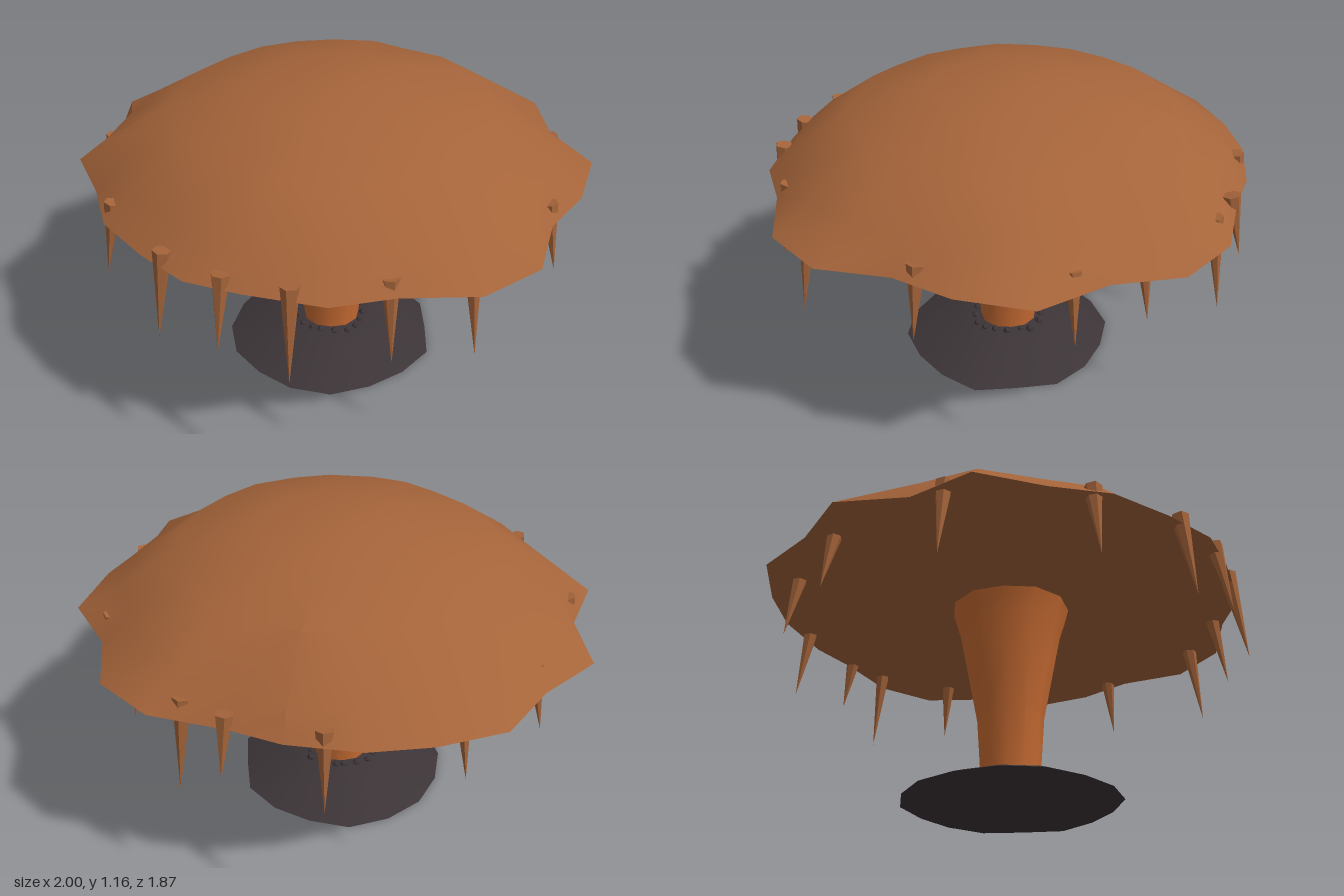
import * as THREE from 'three';
import { toCreasedNormals } from 'three/addons/utils/BufferGeometryUtils.js';

const mat = (name, color) => new THREE.MeshStandardMaterial({ name, color });

// Closed solid through rings of [x, y, z] points, listed from bottom to top
function loft(rings, crease) {
  const n = rings[0].length, pos = [], idx = [];
  rings.forEach(r => r.forEach(p => pos.push(...p)));
  for (let i = 0; i < rings.length - 1; i++) {
    for (let j = 0; j < n; j++) {
      const k = (j + 1) % n, a = i * n + j, b = i * n + k;
      idx.push(a, a + n, b, b, a + n, b + n);
    }
  }
  const addEnd = (ring, start, up) => {
    const c = pos.length / 3;
    pos.push(...[0, 1, 2].map(d => ring.reduce((s, p) => s + p[d], 0) / n));
    for (let j = 0; j < n; j++) {
      const a = start + j, b = start + (j + 1) % n;
      idx.push(c, up ? b : a, up ? a : b);
    }
  };
  addEnd(rings[0], 0, false);
  addEnd(rings[rings.length - 1], (rings.length - 1) * n, true);
  const g = new THREE.BufferGeometry();
  g.setAttribute('position', new THREE.Float32BufferAttribute(pos, 3));
  g.setIndex(idx);
  return toCreasedNormals(g, crease);
}

// Ring of n points with a radius for each one
const ring = (n, y, cx, cz, radius) => Array.from({ length: n }, (_, j) => {
  const t = j / n * Math.PI * 2, r = radius(j);
  return [cx + Math.cos(t) * r, y, cz + Math.sin(t) * r];
});

export function createModel() {
  const model = new THREE.Group();
  model.name = 'mushroom';
  const capMat = mat('cap brown', 0xa5643a);
  const stemMat = mat('stem orange brown', 0xc56a32);
  const soilMat = mat('dark soil', 0x3c3437);
  const add = (name, geometry, material) => {
    const m = new THREE.Mesh(geometry, material);
    m.name = name;
    model.add(m);
    return m;
  };
  let seed = 7;
  const rand = () => (seed = (seed * 16807) % 2147483647) / 2147483647;

  // Cap: an uneven rim that becomes rounder towards the crown
  const rim = [
    [1, 0.01], [0.91, 0.27], [0.77, 0.46], [0.69, 0.72], [0.48, 0.87], [0.2, 0.88],
    [-0.02, 0.93], [-0.3, 0.86], [-0.5, 0.79], [-0.66, 0.64], [-0.82, 0.45], [-0.89, 0.23],
    [-1, -0.01], [-0.88, -0.24], [-0.88, -0.51], [-0.67, -0.67], [-0.5, -0.87], [-0.25, -0.93],
    [-0.02, -0.94], [0.24, -0.88], [0.42, -0.79], [0.69, -0.69], [0.86, -0.5], [0.88, -0.24]];
  const dents = { 0: -0.03, 3: -0.03, 9: -0.03, 12: 0.03, 13: 0.03, 19: 0.03, 20: -0.05, 23: -0.03 };
  // scale, height, roundness, strength of the dents
  const levels = [[1, 0.82, 0, 0], [0.885, 0.915, 0.6, 1], [0.655, 1.065, 0.85, 0.3],
    [0.32, 1.14, 1, 0], [0.1, 1.163, 1, 0]];
  const capRings = levels.map(([s, y, round, dent]) => rim.map(([x, z], j) => {
    const r = Math.hypot(x, z);
    const k = s * (r + (0.94 - r) * round) + (dents[j] || 0) * dent;
    return [x / r * k, y, z / r * k];
  }));
  add('cap', loft(capRings, 0.5), capMat);

  // Stem flaring into the cap
  const stemRings = [[0.06, 0.118, -0.017], [0.34, 0.138, -0.012], [0.6, 0.19, -0.008],
    [0.72, 0.215, -0.005], [0.83, 0.25, 0]]
    .map(([y, r, cx]) => ring(12, y, cx, 0.005, j => r * (j % 3 ? 1 : 0.96)));
  add('stem', loft(stemRings, 0.6), stemMat);

  // Low mound of soil
  const wobble = Array.from({ length: 16 }, () => 0.96 + rand() * 0.08);
  const moundRings = [[0, 0.42], [0.03, 0.345], [0.065, 0.235], [0.09, 0.14]]
    .map(([y, r]) => ring(16, y, -0.018, 0.01, j => r * wobble[j]));
  add('mound', loft(moundRings, 0.5), soilMat);

  // Pebbles around the foot of the stem
  const pebble = new THREE.IcosahedronGeometry(0.017, 0);
  for (let i = 0; i < 18; i++) {
    const t = (i + rand() * 0.5) / 18 * Math.PI * 2, r = 0.135 + rand() * 0.02;
    const p = add('pebble', pebble, soilMat);
    p.position.set(-0.017 + Math.cos(t) * r, 0.088, 0.005 + Math.sin(t) * r);
    p.rotation.set(rand() * 3, rand() * 3, 0);
    p.scale.setScalar(0.75 + rand() * 0.4);
  }

  // Spikes hanging from the rim, given by their tips
  const tips = [
    [-0.15, 0.5, 0.93], [0.19, 0.55, 0.88], [0.48, 0.51, 0.79], [0.81, 0.59, 0.4],
    [0.9, 0.59, -0.13], [0.77, 0.59, -0.4], [0.6, 0.5, -0.7], [0.45, 0.63, -0.81],
    [0.11, 0.55, -0.92], [-0.38, 0.58, -0.82], [-0.69, 0.6, -0.59], [-0.93, 0.56, -0.13],
    [-0.84, 0.58, 0.4], [-0.61, 0.53, 0.72], [-0.39, 0.58, 0.86]];
  const up = new THREE.Vector3(0, 1, 0);
  for (const [x, y, z] of tips) {
    const tip = new THREE.Vector3(x, y, z), root = new THREE.Vector3(x * 0.945, 0.868, z * 0.945);
    const axis = tip.clone().sub(root), length = axis.length();
    const g = toCreasedNormals(new THREE.ConeGeometry(0.034, length, 6), 0.5);
    const spike = add('spike', g, capMat);
    spike.position.copy(tip).add(root).multiplyScalar(0.5);
    spike.quaternion.setFromUnitVectors(up, axis.normalize());
  }
  return model;
}
